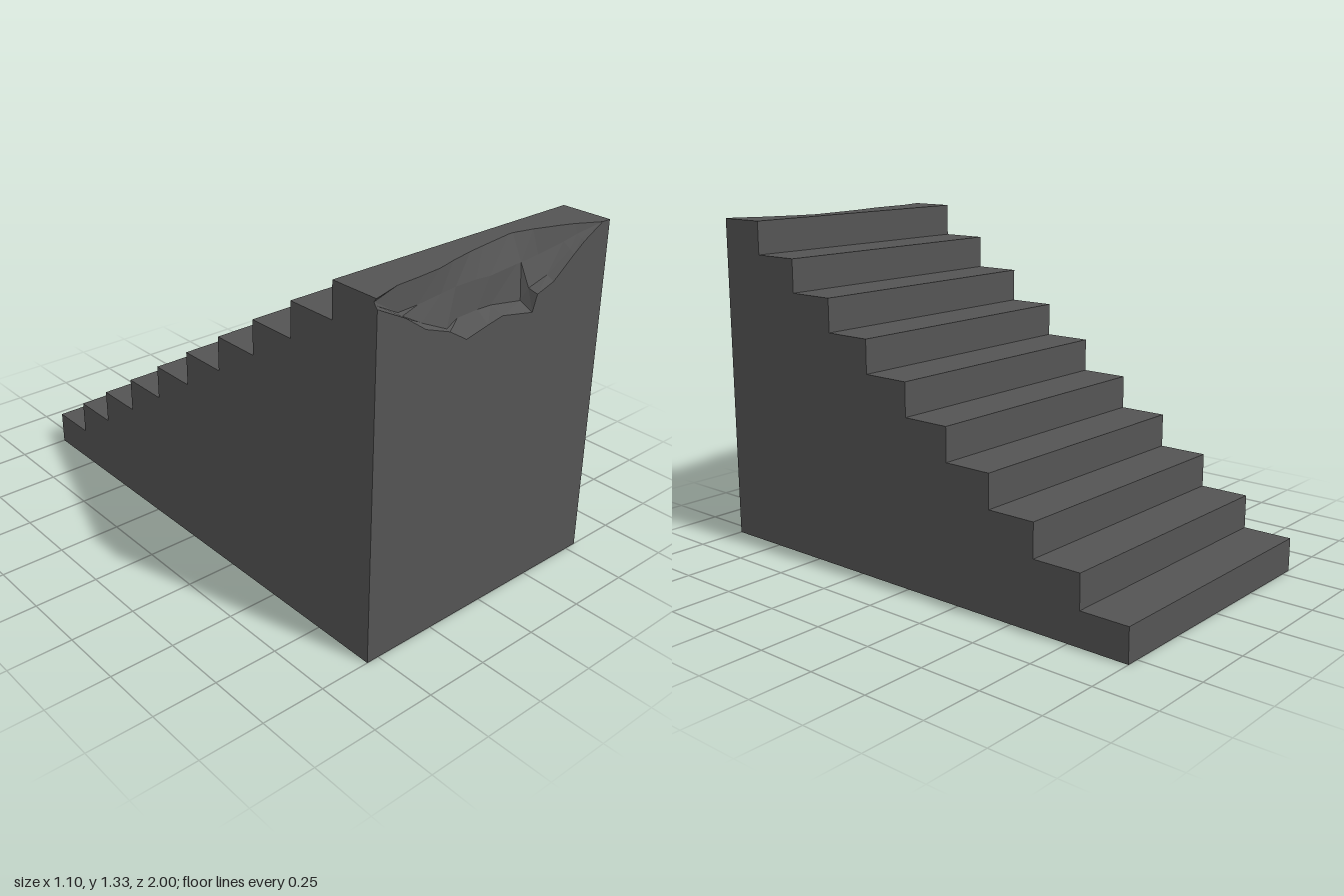
import * as THREE from 'three';

const STEPS = 10, HEIGHT = 4 / 3, RUN = 2 / STEPS, RISE = HEIGHT / STEPS;

// Break cross-sections along x: [x, rim z, ledge y, ledge z, floor y, floor z, lip y]
const SECTIONS = [
  [-0.55, 0.995, 1.32, 0.985, 1.31, 0.99, 1.3],
  [-0.43, 0.96, 1.245, 0.965, 1.24, 0.985, 1.238],
  [-0.34, 0.955, 1.245, 0.96, 1.19, 0.98, 1.175],
  [-0.23, 0.945, 1.25, 0.953, 1.14, 0.985, 1.135],
  [-0.15, 0.925, 1.248, 0.94, 1.145, 0.955, 1.085],
  [-0.05, 0.905, 1.245, 0.935, 1.145, 0.95, 1.107],
  [0.02, 0.895, 1.24, 0.935, 1.14, 0.945, 1.12],
  [0.17, 0.875, 1.24, 0.92, 1.115, 0.945, 1.09],
  [0.19, 0.875, 1.24, 0.92, 1.16, 0.96, 1.15],
  [0.27, 0.895, 1.25, 0.925, 1.19, 0.97, 1.175],
  [0.37, 0.93, 1.28, 0.95, 1.26, 0.98, 1.25],
  [0.42, 0.95, 1.3, 0.965, 1.29, 0.985, 1.285],
  [0.51, 1, HEIGHT, 1, HEIGHT, 1, HEIGHT],
  [0.55, 1, HEIGHT, 1, HEIGHT, 1, HEIGHT],
];

// Side outline of the treads and risers as [z, y], up to the top tread
function stepOutline() {
  const points = [[-1, 0]];
  for (let i = 0; i < STEPS; i++) {
    const z = -1 + i * RUN;
    points.push([z, (i + 1) * RISE]);
    if (i < STEPS - 1) points.push([z + RUN, (i + 1) * RISE]);
  }
  return points;
}

// Join matching outlines at neighbouring x positions
function loft(columns, out = []) {
  for (let c = 0; c < columns.length - 1; c++) {
    const a = columns[c], b = columns[c + 1];
    for (let i = 0; i < a.points.length - 1; i++) {
      const at = (col, k) => [col.x, col.points[k][1], col.points[k][0]];
      const p0 = at(a, i), q0 = at(a, i + 1), p1 = at(b, i), q1 = at(b, i + 1);
      out.push(...p0, ...q0, ...p1, ...q0, ...q1, ...p1);
    }
  }
  return out;
}

// Fill a side outline, facing along the sign of x
function cap(x, outline, out) {
  const pts = outline.map(([z, y]) => new THREE.Vector2(z, y));
  for (const [a, b, c] of THREE.ShapeUtils.triangulateShape(pts, [])) {
    const area = THREE.ShapeUtils.area([pts[a], pts[b], pts[c]]);
    const order = area * x < 0 ? [a, b, c] : [a, c, b];
    for (const k of order) out.push(x, pts[k].y, pts[k].x);
  }
}

function makeMesh(name, positions, material) {
  const geometry = new THREE.BufferGeometry();
  geometry.setAttribute('position', new THREE.Float32BufferAttribute(positions, 3));
  geometry.computeVertexNormals();
  const mesh = new THREE.Mesh(geometry, material);
  mesh.name = name;
  return mesh;
}

export function createModel() {
  const group = new THREE.Group();
  group.name = 'brokenStaircase';
  const stone = new THREE.MeshStandardMaterial({ color: 0x545454 });
  stone.name = 'darkStone';

  const steps = stepOutline();
  const rim = (s) => [s[1], HEIGHT];
  const lip = (s) => [1, s[6]];
  const hollow = (s) => [rim(s), [s[3], s[2]], [s[5], s[4]], lip(s)];
  const columns = (list, outline) => list.map((s) => ({ x: s[0], points: outline(s) }));
  const first = SECTIONS[0], last = SECTIONS[SECTIONS.length - 1];

  // Treads and risers, straight across the full width
  group.add(makeMesh('steps', loft(columns([first, last], () => steps)), stone));

  // Top tread running to the broken rim
  const topStart = steps[steps.length - 1];
  group.add(makeMesh('topTread', loft(columns(SECTIONS, (s) => [topStart, rim(s)])), stone));

  // Chipped hollow along the upper front edge
  group.add(makeMesh('brokenEdge', loft(columns(SECTIONS.slice(0, -1), hollow)), stone));

  // Front wall below the break
  group.add(makeMesh('frontWall', loft(columns(SECTIONS, (s) => [lip(s), [1, 0]])), stone));

  // Underside
  group.add(makeMesh('base', loft(columns([first, last], () => [[1, 0], [-1, 0]])), stone));

  // Side walls
  const sides = [];
  cap(first[0], [...steps, ...hollow(first), [1, 0]], sides);
  cap(last[0], [...steps, lip(last), [1, 0]], sides);
  group.add(makeMesh('sideWalls', sides, stone));

  return group;
}
